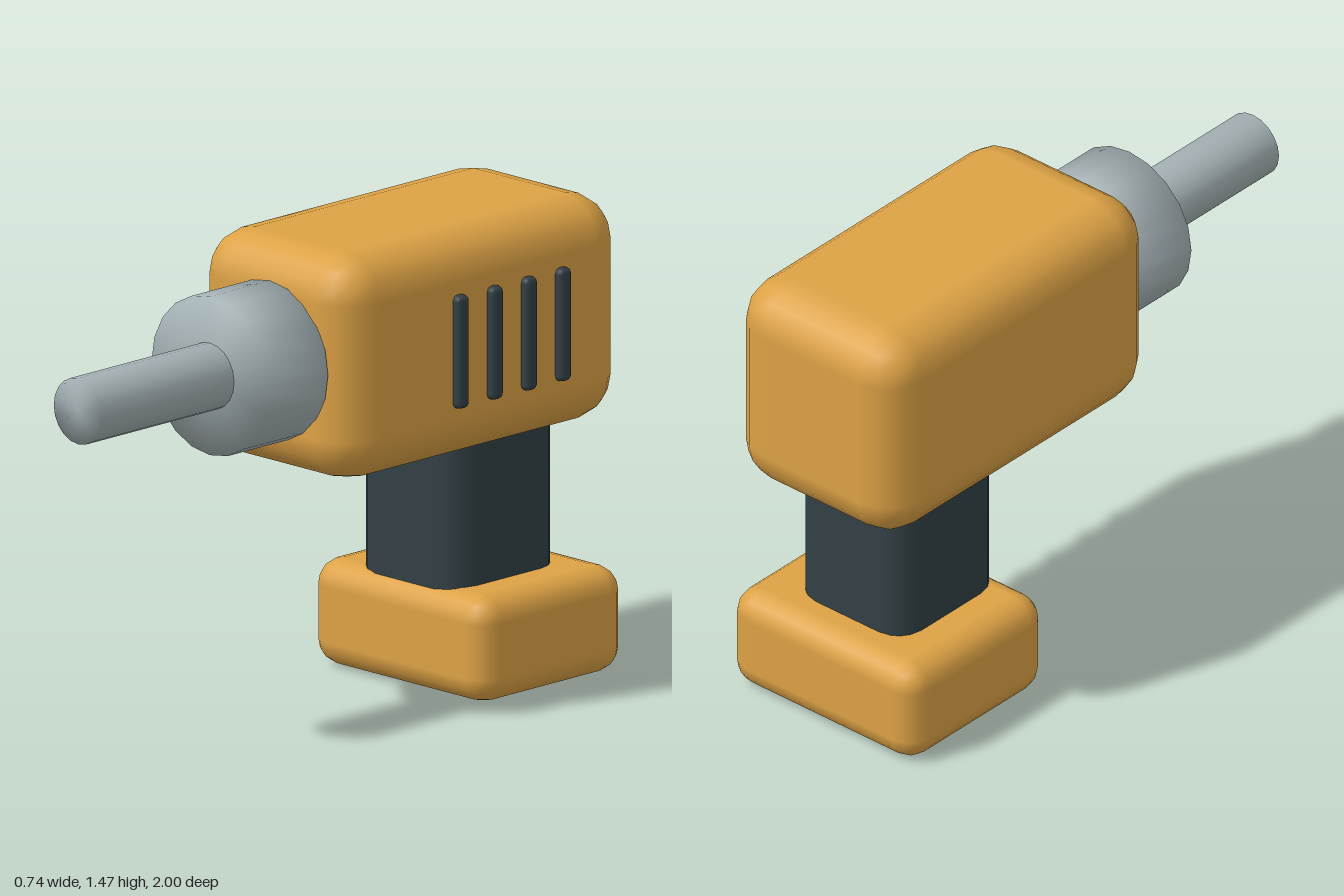
import * as THREE from 'three';
import { RoundedBoxGeometry } from 'three/addons/geometries/RoundedBoxGeometry.js';
import { mergeVertices } from 'three/addons/utils/BufferGeometryUtils.js';

export function createModel() {
  const group = new THREE.Group();
  const orange = new THREE.MeshStandardMaterial({ color: 0xdda245 });
  const dark = new THREE.MeshStandardMaterial({ color: 0x324045 });
  const metal = new THREE.MeshStandardMaterial({ color: 0xa3b0b3 });

  const add = (name, geometry, material) => {
    const mesh = new THREE.Mesh(geometry, material);
    mesh.name = name;
    group.add(mesh);
    return mesh;
  };

  // Rounded box given by its extents on each axis
  const box = (name, [x0, x1], [y0, y1], [z0, z1], radius, material) => {
    const geometry = new RoundedBoxGeometry(x1 - x0, y1 - y0, z1 - z0, 2, radius);
    add(name, geometry, material).position.set((x0 + x1) / 2, (y0 + y1) / 2, (z0 + z1) / 2);
  };

  // Cylinder along z, with normals shared between the wall and the caps
  const rod = (name, radius, z0, z1, sides) => {
    let geometry = new THREE.CylinderGeometry(radius, radius, z1 - z0, sides).rotateX(Math.PI / 2);
    geometry.deleteAttribute('normal');
    geometry.deleteAttribute('uv');
    geometry = mergeVertices(geometry);
    geometry.computeVertexNormals();
    add(name, geometry, metal).position.set(0, 1.115, (z0 + z1) / 2);
  };

  // Motor housing, grip and battery foot
  box('motorHousing', [-0.33, 0.33], [0.765, 1.465], [-1, 0.195], 0.14, orange);
  box('grip', [-0.215, 0.215], [0.2, 0.9], [-0.83, -0.38], 0.09, dark);
  box('battery', [-0.37, 0.37], [0, 0.33], [-0.957, -0.34], 0.08, orange);

  // Chuck and bit
  rod('chuck', 0.245, 0.19, 0.443, 20);
  rod('bit', 0.102, 0.43, 1, 20);

  // Vent slots on the left side only
  for (let i = 0; i < 4; i++) {
    const z = -0.277 - i * 0.144;
    box(`vent${i + 1}`, [0.305, 0.357], [0.94, 1.29], [z - 0.025, z + 0.025], 0.018, dark);
  }

  return group;
}
